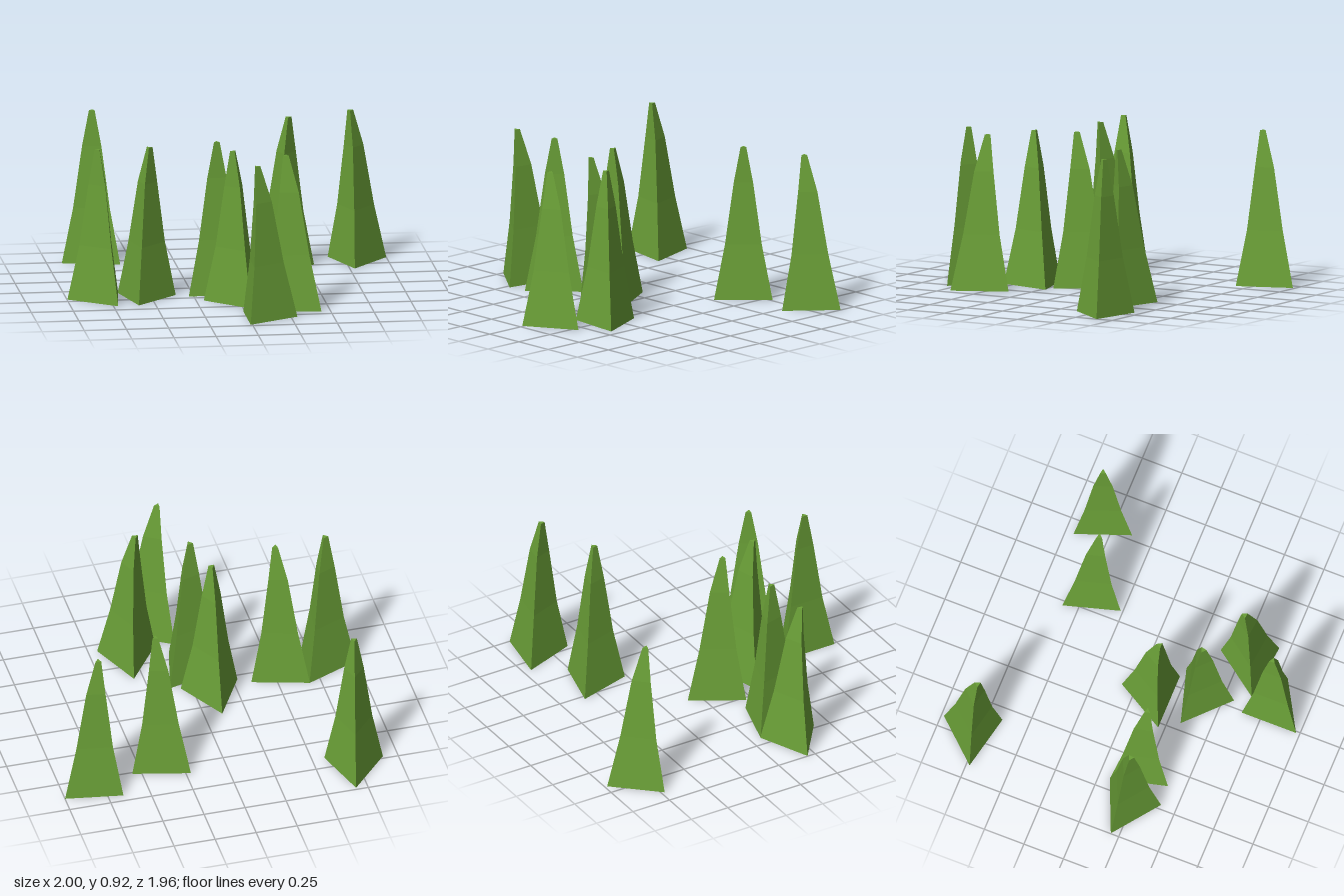
import * as THREE from 'three';

// Blade cross-sections from base to tip: height, triangle radius, lean
const SECTIONS = [
  [0, 0.199, 0],
  [0.33, 0.125, -0.007],
  [0.7, 0.066, -0.019],
  [0.915, 0.0196, -0.04],
];

// Each blade: centre x, centre z, direction of its ridge (x, z)
const BLADES = [
  [-0.722, -0.79, 12, -55],
  [0.364, -0.457, -27, -26],
  [0.813, -0.573, 35, -13],
  [-0.107, 0.112, 0, -1],
  [-0.012, 0.372, 26, -27],
  [0.285, 0.571, 30, 22],
  [0.089, 0.805, 1, 0],
  [-0.8, 0.224, 22, -29],
  [-0.544, 0.21, -26, -27],
];

// Three-sided tapering prism, ridge towards +z, tip leaning towards -z
function bladeGeometry() {
  const steps = SECTIONS.length - 1;
  const geometry = new THREE.CylinderGeometry(1, 1, steps, 3, steps);
  const pos = geometry.attributes.position;
  for (let i = 0; i < pos.count; i++) {
    const [height, radius, lean] = SECTIONS[Math.round(pos.getY(i) + steps / 2)];
    pos.setXYZ(i, pos.getX(i) * radius, height, pos.getZ(i) * radius + lean);
  }
  geometry.computeVertexNormals();
  return geometry;
}

export function createModel() {
  const group = new THREE.Group();
  group.name = 'grassTuft';
  const geometry = bladeGeometry();
  const material = new THREE.MeshStandardMaterial({ color: 0x6a9f37, flatShading: true });

  BLADES.forEach(([x, z, dx, dz], i) => {
    const blade = new THREE.Mesh(geometry, material);
    blade.name = `grassBlade${i + 1}`;
    blade.position.set(x, 0, z);
    blade.rotation.y = Math.atan2(dx, dz);
    group.add(blade);
  });
  return group;
}
